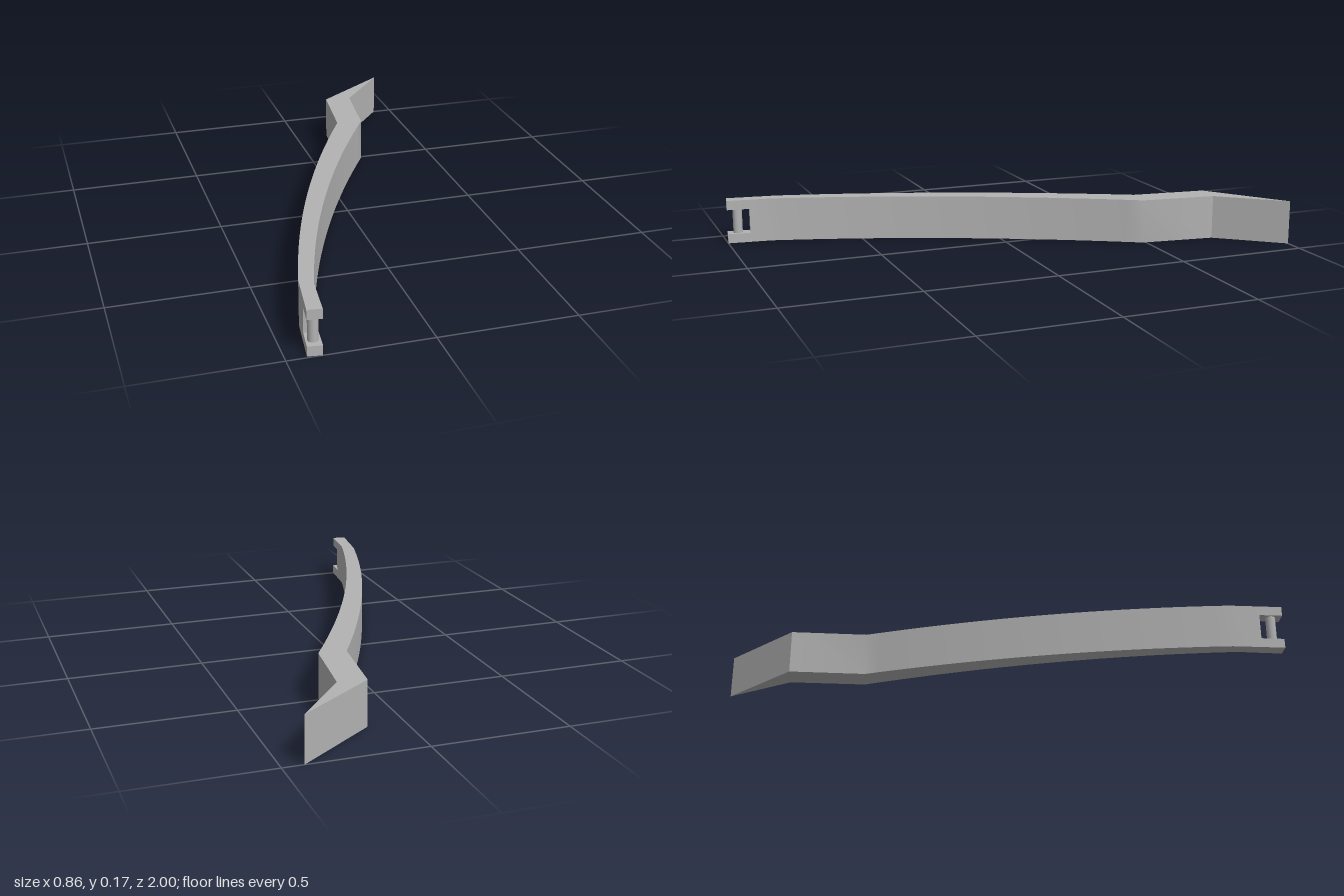
import * as THREE from 'three';
import { toCreasedNormals } from 'three/addons/utils/BufferGeometryUtils.js';

const HEIGHT = 0.167;
const PRONG = 0.036;

// Stand a plan outline (drawn with y = -z) up between two heights
function slab(shape, bottom, top) {
  const geo = new THREE.ExtrudeGeometry(shape, {
    depth: top - bottom, bevelEnabled: false, curveSegments: 24,
  });
  geo.rotateX(-Math.PI / 2);
  geo.translate(0, bottom, 0);
  return toCreasedNormals(geo, 0.5);
}

export function createModel() {
  const group = new THREE.Group();
  const grey = new THREE.MeshStandardMaterial({ color: 0xb3b3b3 });
  grey.name = 'light grey';

  const add = (name, geo) => {
    const mesh = new THREE.Mesh(geo, grey);
    mesh.name = name;
    group.add(mesh);
    return mesh;
  };

  // Curved arm with a kinked neck and a pointed tip
  const arm = new THREE.Shape();
  arm.moveTo(-0.37, -0.915);
  arm.lineTo(-0.362, -0.836);
  arm.quadraticCurveTo(-0.19, -0.175, 0.204, 0.487);
  arm.lineTo(0.238, 0.772);
  arm.lineTo(0.425, 1.0);
  arm.lineTo(0.135, 0.783);
  arm.lineTo(0.103, 0.497);
  arm.quadraticCurveTo(-0.248, -0.15, -0.405, -0.80);
  arm.lineTo(-0.419, -0.908);
  arm.closePath();
  add('arm', slab(arm, 0, HEIGHT));

  // Fork prongs above and below the slot
  const prong = new THREE.Shape([
    [-0.379, -1.0], [-0.37, -0.915], [-0.419, -0.908], [-0.43, -0.993],
  ].map(([x, y]) => new THREE.Vector2(x, y)));
  add('lowerProng', slab(prong, 0, PRONG));
  add('upperProng', slab(prong, HEIGHT - PRONG, HEIGHT));

  // Upright pin joining the prongs
  const pin = add('pin', new THREE.CylinderGeometry(0.018, 0.018, HEIGHT - 2 * PRONG, 24, 1, true));
  pin.position.set(-0.401, HEIGHT / 2, 0.957);

  return group;
}
